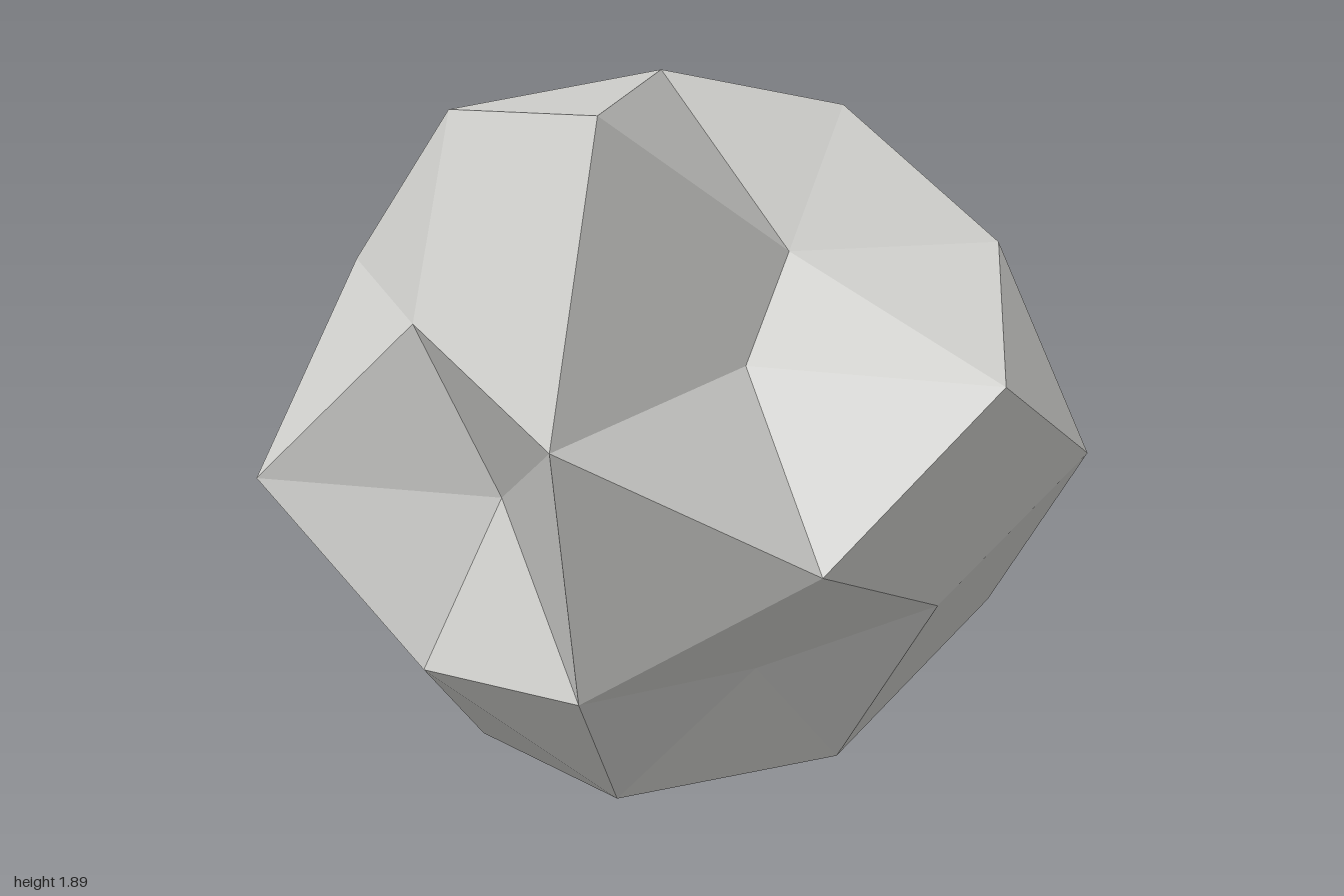
import * as THREE from 'three';

// Directions of a once-split icosahedron, grouped by family. Each family lists one
// radius per sign combination, with + before - and the last non-zero axis changing fastest.
const FAMILIES = [
  { dir: [1, 0, 0], radii: [0.785, 1.0] },
  { dir: [0, 1, 0], radii: [0.878, 0.89] },
  { dir: [0, 0, 1], radii: [0.985, 0.797] },
  { dir: [0.526, 0.851, 0], radii: [0.88, 0.785, 0.98, 0.885] },
  { dir: [0, 0.526, 0.851], radii: [0.63, 1.04, 0.722, 1.16] },
  { dir: [0.851, 0, 0.526], radii: [1.024, 1.175, 0.595, 0.735] },
  { dir: [0.309, 0.809, 0.5], radii: [0.63, 0.863, 0.905, 0.63, 1.188, 0.866, 0.915, 1.146] },
  { dir: [0.5, 0.309, 0.809], radii: [1.012, 0.805, 0.845, 0.54, 1.245, 0.92, 0.985, 0.77] },
  { dir: [0.809, 0.5, 0.309], radii: [0.92, 0.93, 0.93, 0.93, 0.853, 0.833, 0.85, 0.85] },
];

// Radius for a unit direction
function radiusAt(v) {
  const a = v.toArray();
  const family = FAMILIES.find(({ dir }) => dir.every((d, i) => Math.abs(Math.abs(a[i]) - d) < 0.02));
  let index = 0;
  family.dir.forEach((d, i) => {
    if (d > 0) index = index * 2 + (a[i] < 0 ? 1 : 0);
  });
  return family.radii[index];
}

export function createModel() {
  const group = new THREE.Group();
  group.name = 'rock';

  const stone = new THREE.MeshStandardMaterial({ color: 0xd0d0cd, flatShading: true });
  stone.name = 'stone grey';

  // Jagged boulder: push each corner in or out along its own direction
  const geometry = new THREE.IcosahedronGeometry(1, 1);
  const position = geometry.attributes.position;
  const v = new THREE.Vector3();
  for (let i = 0; i < position.count; i++) {
    v.fromBufferAttribute(position, i).normalize();
    v.multiplyScalar(radiusAt(v));
    position.setXYZ(i, v.x, v.y, v.z);
  }
  geometry.translate(0, 0.927, -0.01);
  geometry.computeVertexNormals();

  const boulder = new THREE.Mesh(geometry, stone);
  boulder.name = 'boulder';
  group.add(boulder);
  return group;
}
